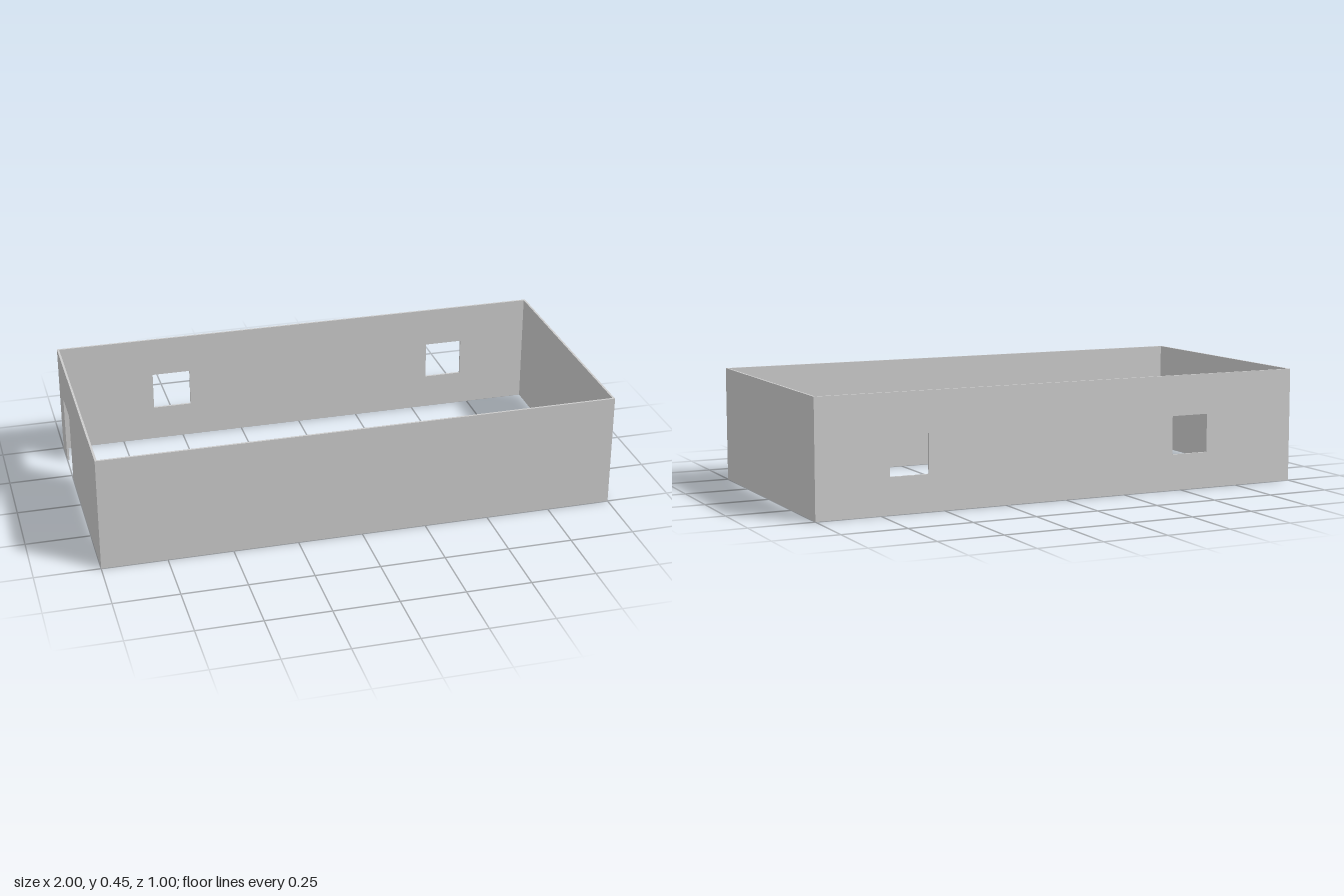
import * as THREE from 'three';

const W = 2, D = 1, H = 0.447, T = 0.008;
const material = new THREE.MeshStandardMaterial({ color: 0xcccccc, flatShading: true });

// Upright panel in the xy plane, extruded along +z; openings are [x0, x1, y0, y1].
function panel(name, x0, x1, windows = [], door = null) {
  const shape = new THREE.Shape().moveTo(x0, 0);
  if (door) {
    const [a, b, top] = door;
    shape.lineTo(a, 0).lineTo(a, top).lineTo(b, top).lineTo(b, 0);
  }
  shape.lineTo(x1, 0).lineTo(x1, H).lineTo(x0, H).closePath();
  for (const [a, b, c, d] of windows) {
    shape.holes.push(new THREE.Path().moveTo(a, c).lineTo(a, d).lineTo(b, d).lineTo(b, c).closePath());
  }
  const geometry = new THREE.ExtrudeGeometry(shape, { depth: T, bevelEnabled: false });
  const mesh = new THREE.Mesh(geometry, material);
  mesh.name = name;
  return mesh;
}

export function createModel() {
  const group = new THREE.Group();
  group.name = 'roomWalls';

  // Plain long wall at the front
  const front = panel('frontWall', -W / 2, W / 2);
  front.position.z = D / 2 - T;

  // Long back wall with two windows
  const back = panel('backWall', -W / 2, W / 2, [
    [-0.617, -0.463, 0.14, 0.29],
    [0.56, 0.713, 0.14, 0.29],
  ]);
  back.position.z = -D / 2;

  // Short walls fit between the long ones; local x runs along -z after the turn
  const inner = D / 2 - T;
  const right = panel('plainEndWall', -inner, inner);
  right.rotation.y = Math.PI / 2;
  right.position.x = W / 2 - T;

  // End wall with a doorway close to the back corner
  const left = panel('doorEndWall', -inner, inner, [], [0.222, 0.388, 0.277]);
  left.rotation.y = Math.PI / 2;
  left.position.x = -W / 2;

  group.add(front, back, right, left);
  return group;
}
